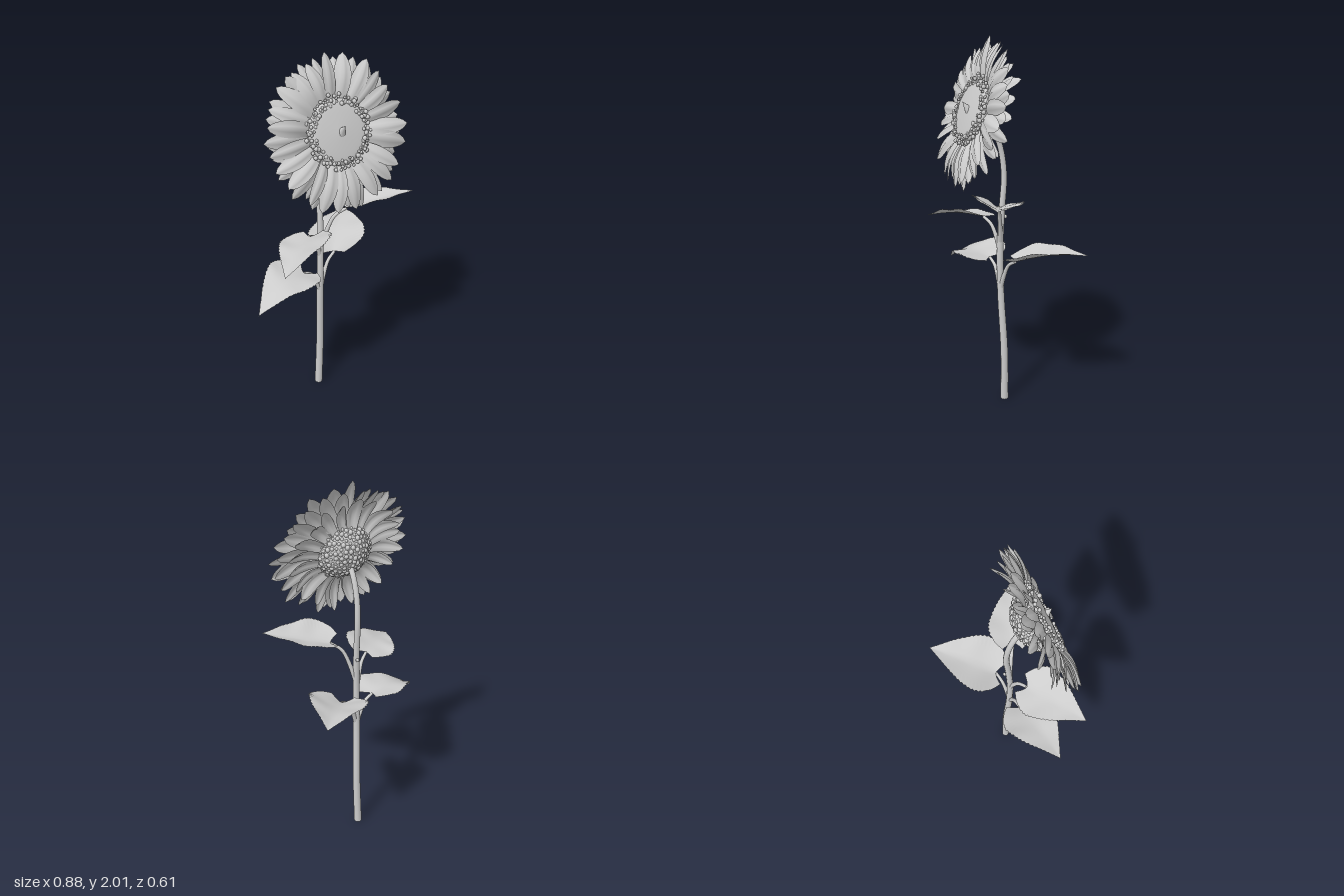
import * as THREE from 'three';
import { mergeGeometries } from 'three/addons/utils/BufferGeometryUtils.js';

const grey = new THREE.MeshStandardMaterial({ color: 0xcccccc, side: THREE.DoubleSide });
grey.name = 'plain grey';

let seed = 7;
const rand = () => (seed = (seed * 16807) % 2147483647) / 2147483647;
const jitter = (a) => (rand() * 2 - 1) * a;

function add(parent, name, geometry) {
  const mesh = new THREE.Mesh(geometry, grey);
  mesh.name = name;
  parent.add(mesh);
  return mesh;
}

// Smooth sheet: place(u, v) gives a point for u in 0..1 (along) and v in -1..1 (across)
function sheet(nu, nv, place) {
  const g = new THREE.PlaneGeometry(2, 1, nv, nu);
  const p = g.attributes.position;
  for (let i = 0; i < p.count; i++) {
    const [x, y, z] = place(p.getY(i) + 0.5, p.getX(i), Math.floor(i / (nv + 1)));
    p.setXYZ(i, x, y, z);
  }
  g.computeVertexNormals();
  return g;
}

// Tube whose radius runs from r0 to r1
function taperedTube(points, r0, r1, segments) {
  const curve = new THREE.CatmullRomCurve3(points.map((a) => new THREE.Vector3(...a)));
  const sides = 12;
  const g = new THREE.TubeGeometry(curve, segments, 1, sides);
  const p = g.attributes.position;
  const v = new THREE.Vector3();
  for (let i = 0; i < p.count; i++) {
    const t = Math.floor(i / (sides + 1)) / segments;
    const c = curve.getPointAt(t);
    v.fromBufferAttribute(p, i).sub(c).multiplyScalar(r0 + (r1 - r0) * t).add(c);
    p.setXYZ(i, v.x, v.y, v.z);
  }
  return g;
}

// Heart-shaped, saw-edged leaf; roll lifts one long edge, fold lifts both, arch lifts the middle
const leafWidth = new THREE.SplineCurve([
  [0, 0.4], [0.08, 0.78], [0.22, 1], [0.4, 0.9], [0.6, 0.64], [0.8, 0.32], [1, 0],
].map((a) => new THREE.Vector2(...a)));

function leafBlade({ base, tip, width, arch, roll, fold }) {
  const dx = tip[0] - base[0], dz = tip[2] - base[2];
  const len = Math.hypot(dx, dz);
  const ax = dx / len, az = dz / len;
  return sheet(44, 10, (u, v, row) => {
    const w = leafWidth.getPoint(u);
    const edge = Math.abs(v);
    const saw = edge > 0.99 && row % 2 && w.x > 0.12 ? 1.05 : 1;
    const along = len * (w.x - 0.12 * edge ** 1.5 * (1 - w.x) ** 4);
    const across = width * w.y * v * saw;
    const y = base[1] + (tip[1] - base[1]) * w.x + arch * Math.sin(Math.PI * w.x)
      + (roll * v + fold * edge ** 1.3) * w.y
      + 0.005 * Math.sin(w.x * 16 + v * 2) * edge * w.y;
    return [base[0] + ax * along - az * across, y, base[2] + az * along + ax * across];
  });
}

// Ring of petals around the head axis (+z); the lower petals hang longer
function petalRing({ count, inner, outer, width, z, lift, turn }) {
  const petals = [];
  for (let i = 0; i < count; i++) {
    const angle = ((i + turn) / count) * Math.PI * 2 + jitter(0.05);
    const droop = (1 - Math.cos(angle)) / 2;
    const len = outer - inner + jitter(0.014) + 0.026 * droop;
    const half = width * (1 + jitter(0.12));
    const bend = lift + jitter(0.025);
    const twist = jitter(0.35);
    const g = sheet(12, 6, (u, v) => {
      const w = half * Math.max(0, Math.sin(Math.PI * (0.18 + 0.82 * u ** 1.3))) ** 0.6;
      const x = w * v;
      const crease = 0.004 * Math.cos(v * Math.PI * 2) * Math.sin(Math.PI * u);
      const depth = z + bend * u * u + 0.022 * Math.sin(Math.PI * u) - 0.3 * w * v * v + crease;
      return [x, inner + len * u, depth + x * twist];
    });
    petals.push(g.rotateZ(angle));
  }
  return mergeGeometries(petals);
}

function bead(r, x, y, z) {
  return new THREE.SphereGeometry(r, 8, 6).translate(x, y, z);
}

function createHead() {
  const head = new THREE.Group();
  head.name = 'flowerHead';

  // Rounded back and shallow front disc
  const profile = [[0, -0.13], [0.05, -0.124], [0.1, -0.1], [0.14, -0.055], [0.16, 0],
    [0.15, 0.016], [0.13, 0.024], [0.07, 0.03], [0, 0.034]];
  const curve = new THREE.SplineCurve(profile.map((a) => new THREE.Vector2(...a)));
  const outline = curve.getPoints(32).map((a) => new THREE.Vector2(Math.max(0, a.x), a.y));
  add(head, 'seedDisc', new THREE.LatheGeometry(outline, 40).rotateX(Math.PI / 2));

  // Small point in the middle of the disc
  add(head, 'discPoint', new THREE.ConeGeometry(0.024, 0.06, 10)
    .translate(0, 0.022, 0).rotateX(Math.PI / 2 - 0.6).translate(0.005, 0, 0.026));

  // Florets in rings round the disc
  const florets = [];
  [[0.138, 0.024, 44], [0.156, 0.022, 46], [0.172, 0.014, 42]].forEach(([r, z, n]) => {
    for (let i = 0; i < n; i++) {
      const a = ((i + rand() * 0.7) / n) * Math.PI * 2;
      const rr = r + jitter(0.009);
      florets.push(bead(0.009 + jitter(0.003), Math.cos(a) * rr, Math.sin(a) * rr, z + jitter(0.008)));
    }
  });
  add(head, 'florets', mergeGeometries(florets));

  // Knobbly bracts spread over the back
  const bracts = [];
  for (let i = 0; i < 230; i++) {
    const t = (i + 0.5) / 230;
    const r = Math.sqrt(1 - t * t);
    const a = i * 2.39996;
    bracts.push(bead(0.011 + jitter(0.003), Math.cos(a) * r * 0.152, Math.sin(a) * r * 0.152, -0.128 * t));
  }
  add(head, 'backBracts', mergeGeometries(bracts));

  // Overlapping petal layers, front to back
  [
    { name: 'frontPetals', count: 23, inner: 0.15, outer: 0.364, width: 0.039, z: 0.0, lift: 0.008, turn: 0 },
    { name: 'middlePetals', count: 23, inner: 0.145, outer: 0.364, width: 0.038, z: -0.025, lift: 0.0, turn: 0.5 },
    { name: 'backPetals', count: 20, inner: 0.14, outer: 0.31, width: 0.034, z: -0.045, lift: -0.025, turn: 0.25 },
  ].forEach((layer) => add(head, layer.name, petalRing(layer)));

  head.position.set(0.003, 1.648, 0.168);
  head.rotation.x = -0.33;
  return head;
}

export function createModel() {
  const model = new THREE.Group();
  model.name = 'sunflower';

  // Stem, curving forward under the head
  add(model, 'stem', taperedTube([[0.004, 0, -0.004], [0.01, 0.3, 0], [0, 0.65, 0.016], [0, 0.9, 0.02],
    [0.003, 1.12, 0.01], [0.003, 1.3, -0.002], [0, 1.43, 0.012], [0, 1.53, 0.045], [0, 1.59, 0.085]],
  0.022, 0.014, 60));
  add(model, 'stemBase', new THREE.CircleGeometry(0.022, 12).rotateX(Math.PI / 2).translate(0.004, 0, -0.004));
  add(model, 'stemNode', bead(0.01, 0.008, 1.08, -0.008));

  // Leaves with their stalks
  const leaves = [
    { name: 'lowerLeftLeaf', from: 0.67, base: [0.112, 0.858, -0.018], tip: [0.36, 0.93, -0.312], width: 0.152, arch: 0.02, roll: 0.018, fold: 0.045 },
    { name: 'upperLeftLeaf', from: 0.93, base: [0.12, 1.172, 0.082], tip: [0.438, 1.25, 0.225], width: 0.125, arch: 0.0, roll: 0.02, fold: 0.045 },
    { name: 'lowerRightLeaf', from: 0.66, base: [-0.11, 0.82, 0.033], tip: [-0.443, 0.73, 0.14], width: 0.147, arch: 0.05, roll: 0.012, fold: 0.025 },
    { name: 'upperRightLeaf', from: 0.88, base: [-0.095, 1.062, 0.075], tip: [-0.37, 1.02, 0.297], width: 0.13, arch: 0.018, roll: -0.036, fold: 0.024 },
  ];
  for (const leaf of leaves) {
    const group = new THREE.Group();
    group.name = leaf.name;
    const [x, y, z] = leaf.base;
    const rise = y - leaf.from;
    add(group, 'stalk', taperedTube([[0, leaf.from, 0.018], [x * 0.22, leaf.from + rise * 0.4, 0.018 + (z - 0.018) * 0.2],
      [x * 0.55, leaf.from + rise * 0.82, 0.018 + (z - 0.018) * 0.55], [x, y, z]], 0.014, 0.008, 16));
    add(group, 'blade', leafBlade(leaf));
    model.add(group);
  }

  model.add(createHead());
  return model;
}
